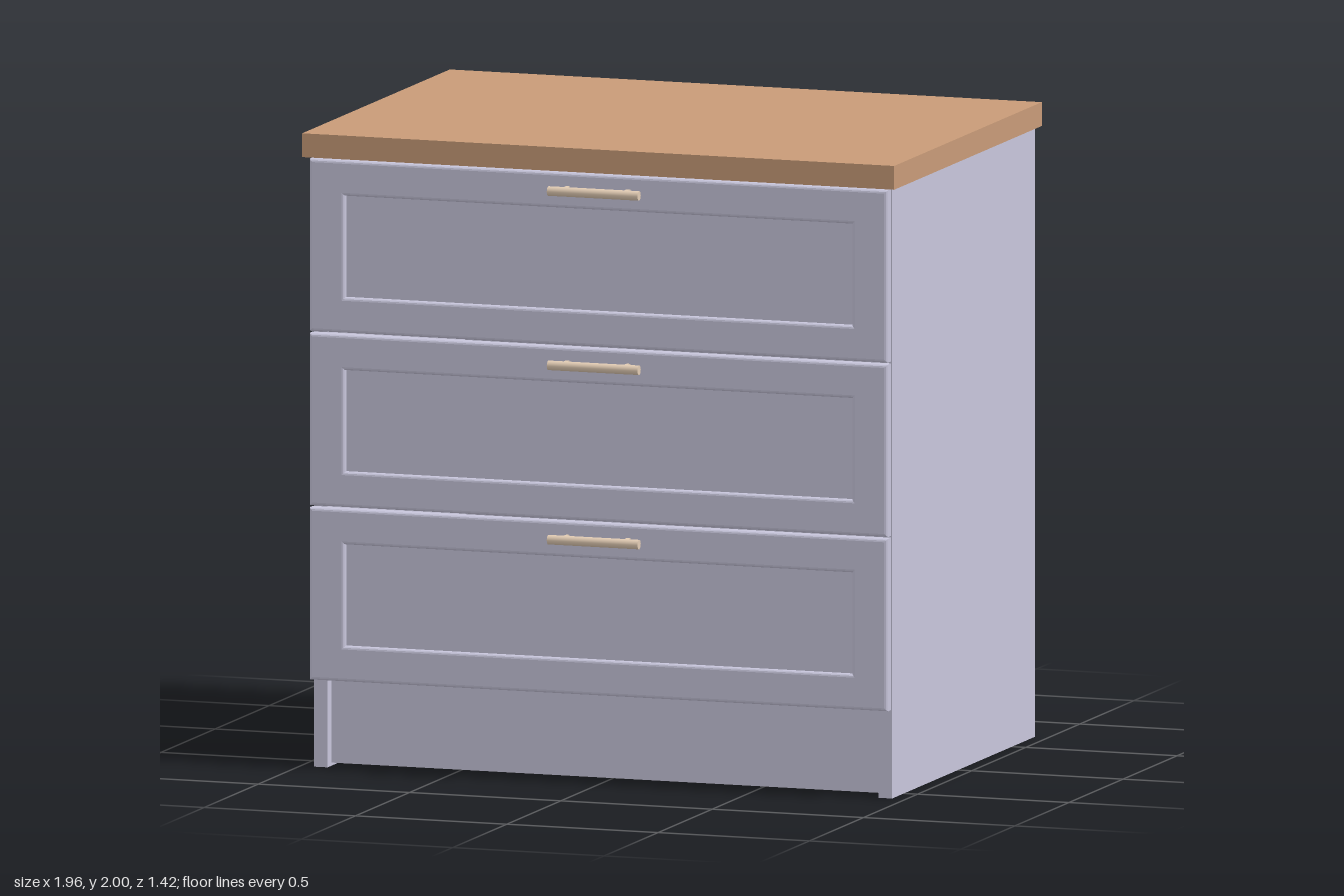
import * as THREE from 'three';

const paint = new THREE.MeshStandardMaterial({ color: 0xc8c6dc });
const wood = new THREE.MeshStandardMaterial({ color: 0xc89b78 });
const metal = new THREE.MeshStandardMaterial({ color: 0xe2ccb4 });

// Box given by its lower and upper corners
function box(name, min, max, material) {
  const size = max.map((v, i) => v - min[i]);
  const mesh = new THREE.Mesh(new THREE.BoxGeometry(...size), material);
  mesh.position.set(...max.map((v, i) => (v + min[i]) / 2));
  mesh.name = name;
  return mesh;
}

function rectangle(PathType, halfW, halfH) {
  return new PathType([
    new THREE.Vector2(-halfW, -halfH), new THREE.Vector2(halfW, -halfH),
    new THREE.Vector2(halfW, halfH), new THREE.Vector2(-halfW, halfH),
  ]);
}

// Bar handle on two flat posts, with its origin on the drawer face
function createHandle() {
  const handle = new THREE.Group();
  handle.name = 'handle';
  const bar = new THREE.Mesh(new THREE.CylinderGeometry(0.015, 0.015, 0.3, 24), metal);
  bar.name = 'handleBar';
  bar.rotation.z = Math.PI / 2;
  bar.position.z = 0.041;
  handle.add(bar);
  for (const x of [-0.1, 0.1]) {
    handle.add(box('handlePost', [x - 0.006, -0.012, -0.003], [x + 0.006, 0.012, 0.036], metal));
  }
  return handle;
}

// Framed drawer front: eased frame around a recessed panel
function createDrawer(width, height) {
  const drawer = new THREE.Group();
  drawer.name = 'drawer';
  const bevel = 0.01, depth = 0.045;
  const outline = rectangle(THREE.Shape, width / 2, height / 2);
  outline.holes.push(rectangle(THREE.Path, 0.838, 0.16));
  const frame = new THREE.Mesh(new THREE.ExtrudeGeometry(outline, {
    depth: depth - 2 * bevel, bevelEnabled: true, bevelThickness: bevel,
    bevelSize: bevel, bevelOffset: -bevel, bevelSegments: 3,
  }), paint);
  frame.name = 'drawerFrame';
  frame.position.z = bevel;
  drawer.add(frame);
  drawer.add(box('drawerPanel', [-0.85, -0.172, 0.008], [0.85, 0.172, 0.025], paint));
  const handle = createHandle();
  handle.position.set(0, height / 2 - 0.053, depth);
  drawer.add(handle);
  return drawer;
}

export function createModel() {
  const model = new THREE.Group();
  model.name = 'drawerCabinet';

  // Carcass
  const back = -0.71, front = 0.61, inner = 0.91, outer = 0.955, top = 1.925, t = 0.045;
  for (const [name, x] of [['rightSide', -outer], ['leftSide', inner]]) {
    model.add(box(name, [x, 0, back], [x + t, top, front], paint));
  }
  model.add(box('bottomPanel', [-inner, 0.28, back], [inner, 0.28 + t, front], paint));
  model.add(box('topPanel', [-inner, top - t, back], [inner, top, front], paint));
  model.add(box('backPanel', [-inner, 0.28 + t, back], [inner, top - t, back + t], paint));
  model.add(box('plinth', [-inner, 0.01, 0.53], [inner, 0.28, 0.575], paint));

  // Worktop
  model.add(box('worktop', [-0.978, top, back], [0.978, 2, 0.655], wood));

  // Three equal drawers
  const pitch = 0.549, height = 0.543;
  for (let i = 0; i < 3; i++) {
    const drawer = createDrawer(2 * outer, height);
    drawer.position.set(0, 0.28 + height / 2 + i * pitch, front);
    model.add(drawer);
  }
  return model;
}
